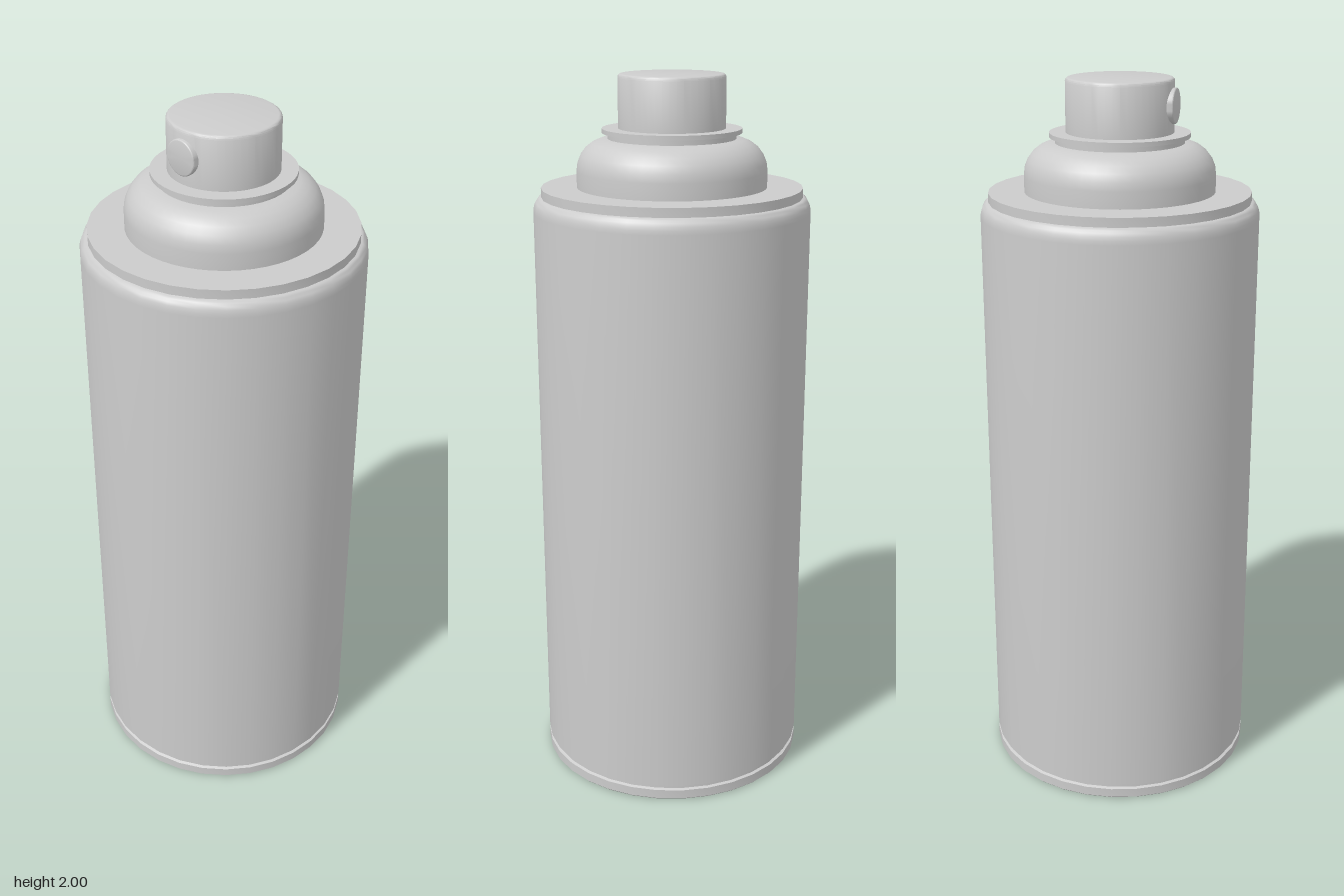
import * as THREE from 'three';
import { toCreasedNormals } from 'three/addons/utils/BufferGeometryUtils.js';

const material = new THREE.MeshStandardMaterial({ color: 0xcccccc });

// Points of a quarter-round going from the side (r, y) inward and up by size
function round(r, y, size, height = size, steps = 6) {
  return Array.from({ length: steps + 1 }, (_, i) => {
    const a = (i / steps) * Math.PI / 2;
    return [r - size * (1 - Math.cos(a)), y + height * Math.sin(a)];
  });
}

// Turned part from a bottom-to-top profile of [radius, height]
function turned(name, profile, segments) {
  const points = profile.map(([r, y]) => new THREE.Vector2(r, y));
  const geometry = toCreasedNormals(new THREE.LatheGeometry(points, segments), 0.6);
  const mesh = new THREE.Mesh(geometry, material);
  mesh.name = name;
  return mesh;
}

export function createModel() {
  const can = new THREE.Group();
  can.name = 'sprayCan';

  // Can wall with bottom rim, seam groove, rounded shoulder and top rim
  can.add(turned('canBody', [
    [0, 0], [0.376, 0], [0.38, 0.004], [0.38, 0.03],
    [0.372, 0.033], [0.372, 0.041], [0.38, 0.045],
    ...round(0.38, 1.635, 0.022, 0.04),
    [0.358, 1.7], [0, 1.7],
  ], 32));

  // Domed shoulder with a short collar
  can.add(turned('dome', [
    [0.26, 1.695], ...round(0.26, 1.745, 0.085),
    [0.175, 1.846], [0, 1.846],
  ], 48));

  // Thin flange under the spray button
  can.add(turned('flange', [
    [0, 1.845], [0.19, 1.845], [0.19, 1.857], [0, 1.857],
  ], 48));

  // Spray button with softened top edge
  can.add(turned('sprayButton', [
    [0.146, 1.855], ...round(0.146, 1.99, 0.01, 0.01, 4), [0, 2],
  ], 48));

  // Round nozzle on the front of the button
  const nozzle = turned('nozzle', [
    [0.047, 0], ...round(0.047, 0.032, 0.003, 0.003, 3), [0, 0.035],
  ], 32);
  nozzle.rotation.x = Math.PI / 2;
  nozzle.position.set(0, 1.93, 0.12);
  can.add(nozzle);

  return can;
}
